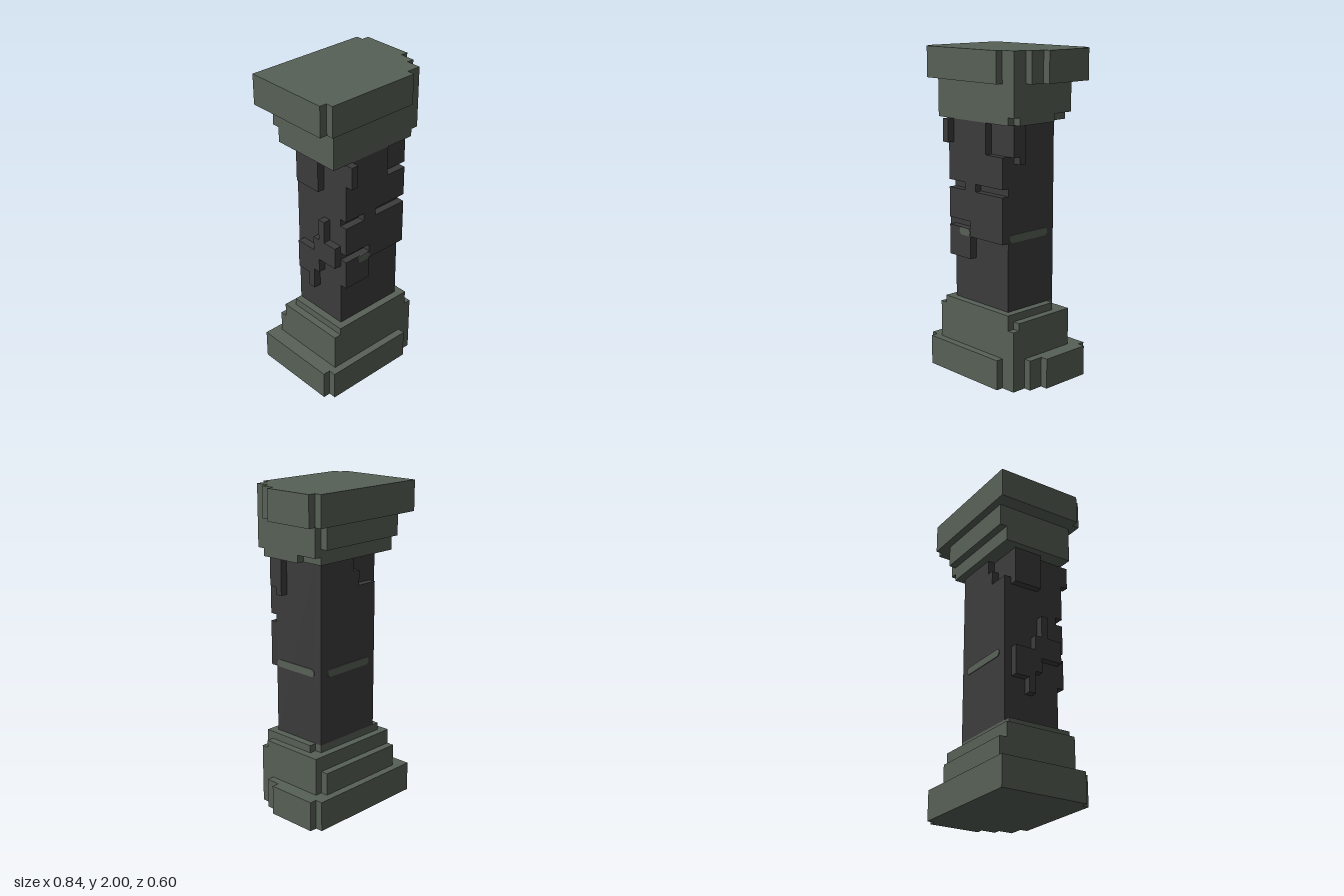
import * as THREE from 'three';

const U = 2 / 43; // one block of the grid

export function createModel() {
  const model = new THREE.Group();
  const stone = new THREE.MeshStandardMaterial({ color: 0x576056 });
  stone.name = 'grey green stone';
  const dark = new THREE.MeshStandardMaterial({ color: 0x3c3b3b });
  dark.name = 'dark stone';

  const add = (name, geometry, material) => {
    geometry.scale(U, U, U);
    const mesh = new THREE.Mesh(geometry, material);
    mesh.name = name;
    model.add(mesh);
    return mesh;
  };
  const extrude = (points, depth) => new THREE.ExtrudeGeometry(
    new THREE.Shape(points.map(([a, b]) => new THREE.Vector2(a, b))),
    { depth, bevelEnabled: false });
  // Floor plan of [x, z] corners raised from y0 to y1
  const plan = (name, points, y0, y1) => add(name,
    extrude(points.map(([x, z]) => [x, -z]), y1 - y0).rotateX(-Math.PI / 2).translate(0, y0, 0), stone);
  // Front outline of [x, y] corners spanning z0 to z1
  const slab = (name, points, z0, z1) => add(name, extrude(points, z1 - z0).translate(0, 0, z0), dark);
  const box = (name, x0, x1, y0, y1, z0, z1, material) => add(name,
    new THREE.BoxGeometry(x1 - x0, y1 - y0, z1 - z0)
      .translate((x0 + x1) / 2, (y0 + y1) / 2, (z0 + z1) / 2), material);

  // Plinth and top slab share one chipped plan
  const slabPlan = [[-9, -6.5], [8, -6.5], [8, -5.5], [9, -5.5], [9, 1.5], [8, 1.5], [8, 3.5],
    [7, 3.5], [7, 5.5], [5, 5.5], [5, 6.5], [-8, 6.5], [-8, 5.5], [-9, 5.5]];
  plan('plinth', slabPlan, 0, 4);
  plan('topSlab', slabPlan, 39, 43);

  // Inner tiers, chipped at their corners next to the shaft
  const tier = [[-7, -4.5], [7, -4.5], [7, 5.5], [-7, 5.5]];
  plan('baseTier', tier, 4, 8);
  plan('baseTierTop', [[-7, -4.5], [7, -4.5], [7, 4.5], [6, 4.5], [6, 5.5], [-7, 5.5]], 8, 9);
  plan('baseCollar', [[-6, -3.5], [5, -3.5], [5, -2.5], [6, -2.5], [6, 5.5], [-6, 5.5]], 9, 10);
  plan('capitalTier', tier, 35, 39);
  plan('capitalTierBottom', [[-7, -4.5], [6, -4.5], [6, -1.5], [7, -1.5], [7, 4.5],
    [6, 4.5], [6, 5.5], [-7, 5.5]], 34, 35);
  box('baseBackLedge', -7, 6, 4, 7, -5.5, -4.5, stone);
  box('capitalBackLedge', -7, 6, 36, 39, -5.5, -4.5, stone);

  // Shaft core with broken facing layers on front and back
  box('shaft', -5, 5, 10, 34, -2.5, 4.5, dark);
  slab('backFacing', [[-5, 10], [5, 10], [5, 34], [-1, 34], [-1, 32], [-2, 32], [-2, 30], [-5, 30]], -3.5, -2.5);
  slab('frontFacing', [[-5, 16], [-1, 16], [-1, 19], [5, 19], [5, 25], [0, 25], [0, 26], [5, 26],
    [5, 30], [2, 30], [2, 34], [-5, 34], [-5, 26], [-2, 26], [-2, 25], [-5, 25],
    [-5, 21], [-1, 21], [-1, 20], [-5, 20]], 4.5, 5.5);
  box('frontChip', -5, -4, 31, 34, 5.5, 6.5, dark);

  // Raised side blocks: x0, y0, y1, z0, z1
  [
    [5, 30, 34, 3.5, 4.5], [5, 29, 34, 2.5, 3.5],
    [-6, 29, 34, -2.5, 1.5],
    [-6, 19, 22, 2.5, 4.5], [-6, 19, 25, 1.5, 2.5], [-6, 17, 22, 0.5, 1.5],
    [-6, 14, 20, -0.5, 0.5], [-6, 16, 20, -2.5, -0.5],
  ].forEach(([x, y0, y1, z0, z1]) => box('sideBlock', x, x + 1, y0, y1, z0, z1, dark));

  // Thin rounded inlays set on the shaft faces
  const inlay = (name, length, turn, x, z) => {
    const r = 0.5, h = length / 2 - r;
    const s = new THREE.Shape();
    s.absarc(h, 0, r, -Math.PI / 2, Math.PI / 2);
    s.absarc(-h, 0, r, Math.PI / 2, Math.PI * 1.5);
    add(name, new THREE.ExtrudeGeometry(s, { depth: 0.1, bevelEnabled: false, curveSegments: 8 })
      .rotateY(turn).translate(x, 19.5, z), stone);
  };
  inlay('frontInlay', 2, 0, -2, 5.5);
  inlay('rightInlay', 6.7, Math.PI / 2, 5, 1);
  inlay('backInlay', 7.7, Math.PI, 0, -3.5);

  return model;
}
